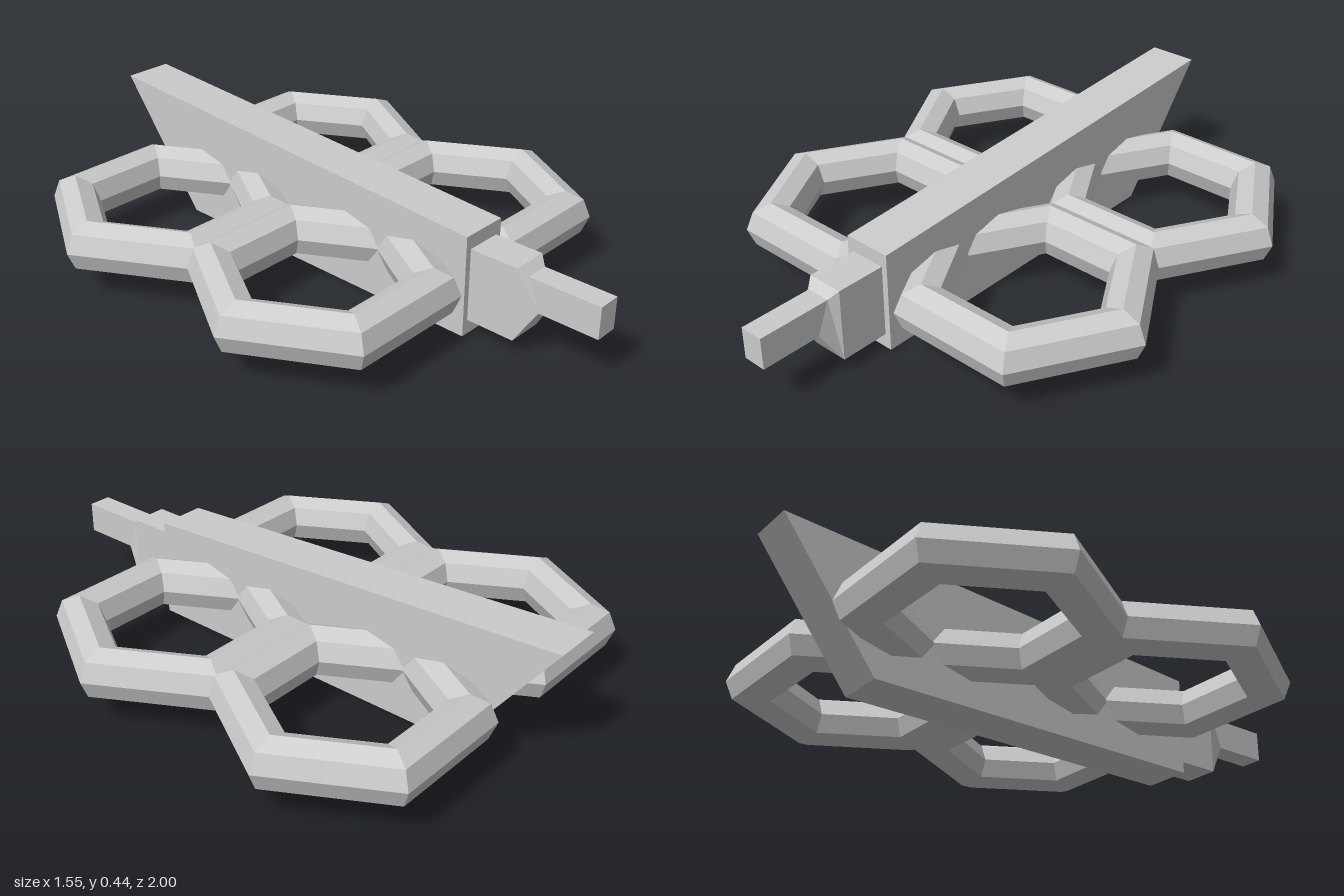
import * as THREE from 'three';

const material = new THREE.MeshStandardMaterial({ color: 0xcccccc, flatShading: true });

function addMesh(parent, geometry, name) {
  const mesh = new THREE.Mesh(geometry, material);
  mesh.name = name;
  parent.add(mesh);
  return mesh;
}

// Skin a row of four-cornered sections, running from back to front, with end caps
function loft(sections) {
  const positions = [];
  const quad = (a, b, c, d) => [a, b, c, a, c, d].forEach((p) => positions.push(...p));
  for (let s = 0; s < sections.length - 1; s++) {
    for (let i = 0; i < 4; i++) {
      const j = (i + 1) % 4;
      quad(sections[s][i], sections[s][j], sections[s + 1][j], sections[s + 1][i]);
    }
  }
  const [a, b, c, d] = sections[0];
  quad(d, c, b, a);
  quad(...sections[sections.length - 1]);
  const geometry = new THREE.BufferGeometry();
  geometry.setAttribute('position', new THREE.Float32BufferAttribute(positions, 3));
  geometry.computeVertexNormals();
  return geometry;
}

// Section corners, counter-clockwise seen from the front
function section(halfWidth, bottom, top, zBottom, zTop = zBottom) {
  return [
    [-halfWidth, bottom, zBottom],
    [halfWidth, bottom, zBottom],
    [halfWidth, top, zTop],
    [-halfWidth, top, zTop],
  ];
}

export function createModel() {
  const model = new THREE.Group();
  model.name = 'hexRingFlyer';

  // Wedge-shaped body, rising to an overhanging tail
  addMesh(model, loft([
    section(0.083, 0, 0.437, -0.67, -1),
    section(0.083, 0, 0.345, 0.56),
  ]), 'body');

  // Nose block narrowing into a square barrel
  addMesh(model, loft([
    section(0.062, 0.05, 0.297, 0.5),
    section(0.062, 0.05, 0.297, 0.728),
    section(0.04, 0.164, 0.271, 0.797, 0.755),
    section(0.04, 0.164, 0.271, 1),
  ]), 'noseBarrel');

  // Four six-sided rings, two on each side of the body
  const radius = 0.3435;
  const ringGeometry = new THREE.TorusGeometry(radius, 0.086, 8, 6).rotateX(-Math.PI / 2);
  for (const [side, x] of [['left', radius], ['right', -radius]]) {
    for (const [end, z] of [['Front', 0.212], ['Back', -0.476]]) {
      addMesh(model, ringGeometry, `${side}${end}Ring`).position.set(x, 0.174, z);
    }
  }
  return model;
}
